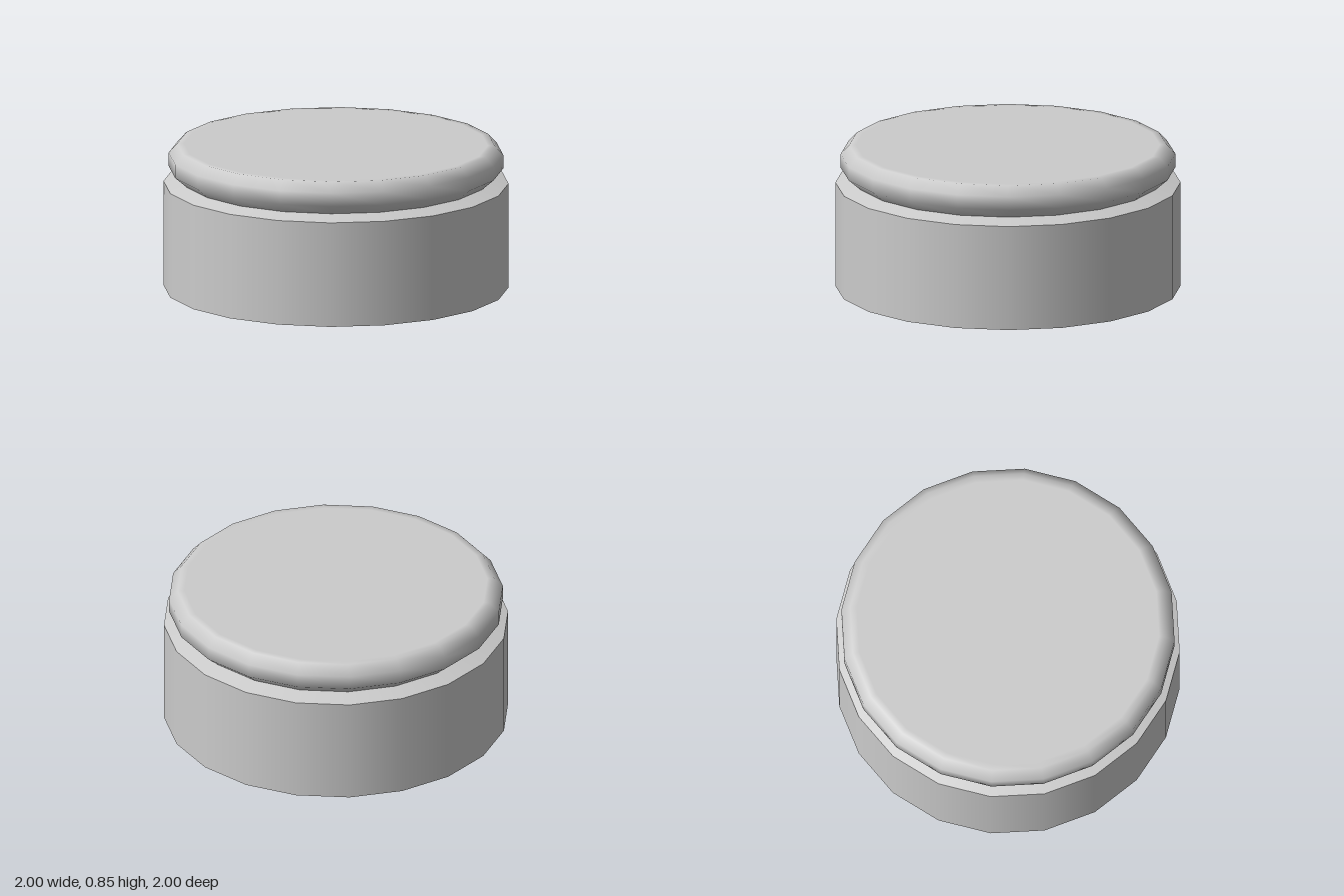
import * as THREE from 'three';

const SIDES = 20;

// Revolves a [radius, height] profile, listed from bottom to top, smooth within itself
function turned(name, profile, material) {
  const points = profile.map(([r, y]) => new THREE.Vector2(r, y));
  const mesh = new THREE.Mesh(new THREE.LatheGeometry(points, SIDES), material);
  mesh.name = name;
  return mesh;
}

export function createModel() {
  const model = new THREE.Group();
  model.name = 'lowRoundContainer';
  const grey = new THREE.MeshStandardMaterial({ color: 0xcccccc });

  // Body: separate profiles keep the rims sharp
  const body = new THREE.Group();
  body.name = 'body';
  body.add(
    turned('bodyBottom', [[0, 0], [1, 0]], grey),
    turned('bodyWall', [[1, 0], [1, 0.62]], grey),
    turned('bodyShoulder', [[1, 0.62], [0.9, 0.65]], grey),
  );

  // Lid: bevelled above and below; the inner ring keeps the top flat
  const lid = turned('lid', [
    [0.9, 0.65], [0.97, 0.71], [0.97, 0.79], [0.92, 0.845], [0.88, 0.845], [0, 0.845],
  ], grey);

  model.add(body, lid);
  return model;
}
